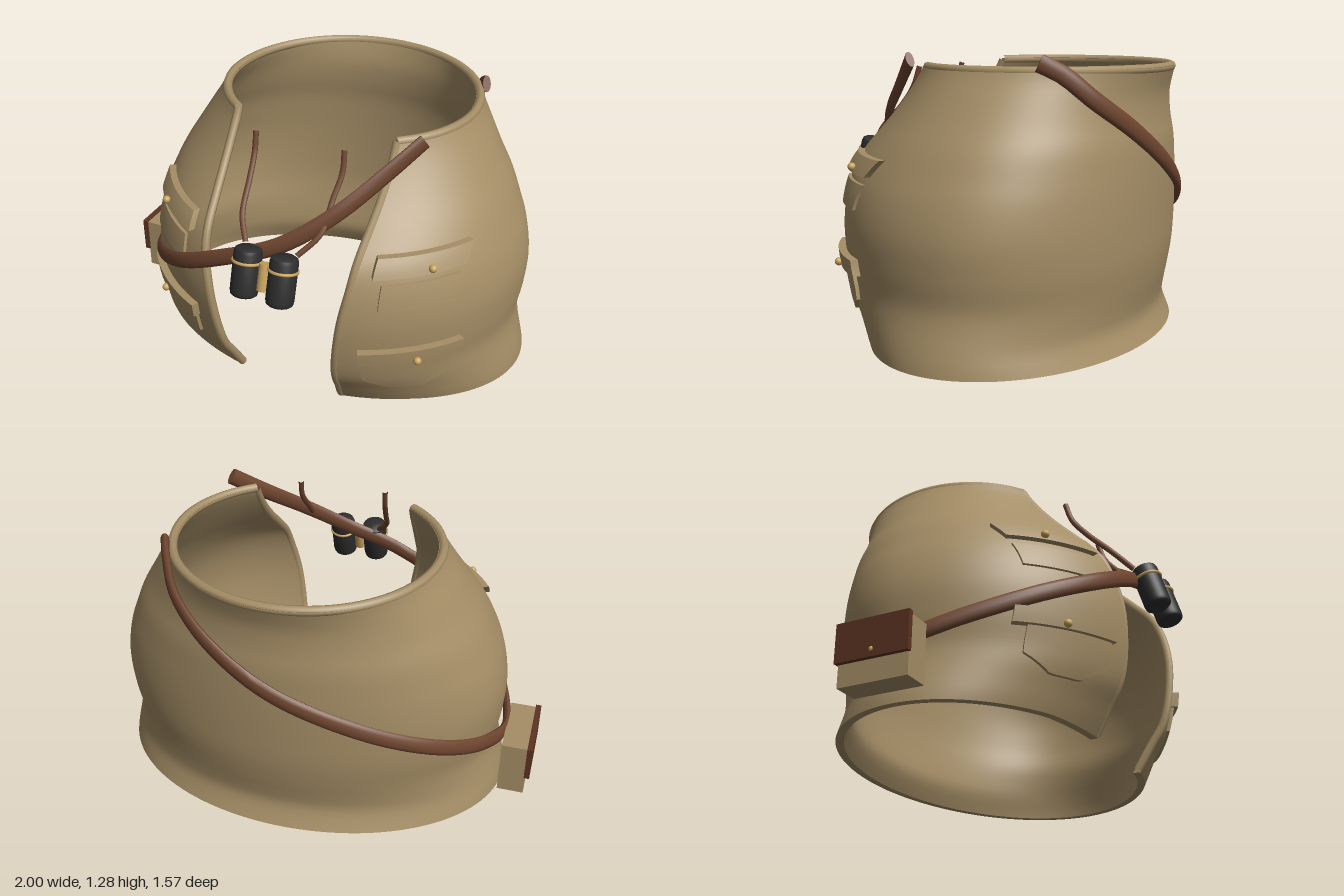
import * as THREE from 'three';
import { toCreasedNormals } from 'three/addons/utils/BufferGeometryUtils.js';

const V = (x, y, z) => new THREE.Vector3(x, y, z);
const CX = 0.07, TOP = 1.215;

const mat = (name, color) => {
  const m = new THREE.MeshStandardMaterial({ color });
  m.name = name;
  return m;
};

// Vest profile by height: y, half width, widest z, back z, opening z, opening half width
const PROFILE = [
  [0, 0.93, -0.1, -0.755, 0.48, 0.26], [0.05, 0.925, -0.1, -0.73, 0.51, 0.265],
  [0.12, 0.91, -0.1, -0.705, 0.55, 0.275], [0.2, 0.89, -0.1, -0.715, 0.6, 0.285],
  [0.27, 0.88, -0.1, -0.73, 0.625, 0.29], [0.4, 0.895, -0.11, -0.75, 0.645, 0.305],
  [0.55, 0.9, -0.12, -0.757, 0.645, 0.325], [0.7, 0.87, -0.13, -0.76, 0.61, 0.35],
  [0.8, 0.83, -0.14, -0.76, 0.56, 0.36], [0.9, 0.785, -0.15, -0.757, 0.465, 0.37],
  [1.0, 0.725, -0.16, -0.745, 0.365, 0.38], [1.1, 0.665, -0.18, -0.745, 0.28, 0.385],
  [1.18, 0.615, -0.19, -0.765, 0.225, 0.385], [1.22, 0.595, -0.2, -0.778, 0.205, 0.385],
];
const profile = new THREE.CubicInterpolant(PROFILE.map(r => r[0]), PROFILE.flatMap(r => r.slice(1)), 5);

// Girth at height y; angle 0 is the front, growing towards +x
function girth(y) {
  const [a, zc, zb, ze, e] = profile.evaluate(Math.min(Math.max(y, 0), 1.22));
  return { a, zc, back: zc - zb, front: (ze - zc) / Math.sqrt(1 - (e / a) ** 2), open: Math.asin(e / a) };
}
function surface(t, y, off = 0) {
  const g = girth(y), s = Math.sin(t), c = Math.cos(t), r = c > 0 ? g.front : g.back;
  const n = V(s / g.a, 0, c / r).normalize();
  return V(CX + g.a * s + n.x * off, y, g.zc + r * c + n.z * off);
}
const angleAt = (x, y) => Math.asin(Math.max(-1, Math.min(1, (x - CX) / girth(y).a)));

// Mesh geometry from vertex positions and indices
function geometry(points, index) {
  const g = new THREE.BufferGeometry().setFromPoints(points);
  g.setIndex(index);
  return toCreasedNormals(g, 0.7);
}

// Closed curved slab between two offsets of f(u, v, off)
function slab(nu, nv, f, off0, off1) {
  const pts = [], idx = [], m = 2 * (nv + 1);
  for (let i = 0; i <= nu; i++) {
    for (let j = 0; j <= nv; j++) pts.push(f(i / nu, j / nv, off1));
    for (let j = nv; j >= 0; j--) pts.push(f(i / nu, j / nv, off0));
  }
  for (let i = 0; i < nu; i++) for (let j = 0; j < m; j++) {
    const a = i * m + j, b = i * m + (j + 1) % m;
    idx.push(a, a + m, b + m, a, b + m, b);
  }
  for (let j = 0; j < nv; j++) {
    const a = j, b = j + 1, c = m - 2 - j, d = m - 1 - j, e = nu * m;
    idx.push(a, b, c, a, c, d, e + a, e + c, e + b, e + a, e + d, e + c);
  }
  return geometry(pts, idx);
}

// Flat rounded strap whose broad side faces away from the body
function ribbon(path, halfWidth, halfThick) {
  const curve = new THREE.CatmullRomCurve3(path), n = 90, k = 12, pts = [], idx = [];
  for (let i = 0; i <= n; i++) {
    const u = Math.min(Math.max(i - 1, 0), n - 2) / (n - 2);
    const p = curve.getPointAt(u), T = curve.getTangentAt(u);
    const N = V(p.x - CX, 0, p.z + 0.12);
    N.addScaledVector(T, -N.dot(T)).normalize();
    const B = T.clone().cross(N), s = i === 0 || i === n ? 0 : 1;
    for (let j = 0; j < k; j++) {
      const f = j / k * Math.PI * 2;
      pts.push(p.clone().addScaledVector(N, s * halfThick * Math.cos(f)).addScaledVector(B, s * halfWidth * Math.sin(f)));
    }
  }
  for (let i = 0; i < n; i++) for (let j = 0; j < k; j++) {
    const a = i * k + j, b = i * k + (j + 1) % k;
    idx.push(a, b, b + k, a, b + k, a + k);
  }
  return geometry(pts, idx);
}

const tube = (points, r, n = 40) => new THREE.TubeGeometry(new THREE.CatmullRomCurve3(points), n, r, 8);

export function createModel() {
  const model = new THREE.Group();
  model.name = 'explorerVest';
  const khaki = mat('khaki cloth', 0xa58e66), leather = mat('brown leather', 0x6e452f);
  const darkLeather = mat('dark leather', 0x5c3422), black = mat('black', 0x2d2d2d), brass = mat('brass', 0xc8a45e);
  const add = (name, geo, material, parent = model) => {
    const m = new THREE.Mesh(geo, material);
    m.name = name;
    parent.add(m);
    return m;
  };

  // Vest body, open at the front
  const vest = (u, v, off) => {
    const y0 = 0.02 * Math.min(1, Math.min(u, 1 - u) / 0.06);
    const y = y0 + (TOP - y0) * v, o = girth(y).open;
    return surface(o + u * (2 * Math.PI - 2 * o), y, off);
  };
  add('vestBody', slab(110, 44, vest, -0.035, 0), khaki);

  // Rolled hems along the neck and both front edges
  const steps = Array.from({ length: 41 }, (_, i) => i / 40);
  add('neckHem', tube(steps.map(u => vest(u, 0.995, -0.018)), 0.021, 110), khaki);
  for (const side of [0, 1])
    add(side ? 'rightFrontHem' : 'leftFrontHem', tube(steps.map(v => vest(side, 0.01 + v * 0.985, -0.018)), 0.02, 60), khaki);

  // Pockets, flaps and buttons on both front panels
  const patch = (s, d0, d1, y0, y1, off, taper = 0) => slab(14, 5, (u, v, o) => {
    const w = s > 0 ? u : 1 - u;
    const edge = Math.max(0, 1 - Math.min(w, 1 - w) / 0.3);
    const yb = y0 + taper * edge, y = yb + (y1 - yb) * v;
    return surface(angleAt(CX + s * (d0 + (d1 - d0) * w), y), y, o);
  }, -0.01, off);
  for (const s of [1, -1]) {
    const pockets = new THREE.Group();
    pockets.name = s > 0 ? 'leftPockets' : 'rightPockets';
    model.add(pockets);
    add('upperPocket', patch(s, 0.46, 0.72, 0.62, 0.73, 0.014), khaki, pockets);
    add('upperFlap', patch(s, 0.42, 0.72, 0.765, 0.84, 0.03), khaki, pockets);
    add('lowerPocket', patch(s, 0.4, 0.71, 0.16, 0.36, 0.016, 0.07), khaki, pockets);
    add('lowerFlap', patch(s, 0.39, 0.75, 0.345, 0.415, 0.034), khaki, pockets);
    for (const [d, y] of [[0.61, 0.79], [0.6, 0.362]])
      add('button', new THREE.SphereGeometry(0.018, 14, 10), brass, pockets)
        .position.copy(surface(angleAt(CX + s * d, y), y, 0.042));
  }

  // Shoulder strap: across the chest, past the bag, up the back
  const chest = [V(0.57, 1.245, 0.21), V(0.45, 1.12, 0.34), V(0.3, 0.98, 0.49), V(0.1, 0.84, 0.6), V(-0.15, 0.73, 0.635),
    V(-0.4, 0.61, 0.59), V(-0.62, 0.49, 0.425), V(-0.78, 0.375, 0.17), V(-0.85, 0.3, -0.08)];
  const back = [[4.4, 0.36], [4, 0.48], [3.6, 0.62], [3.14, 0.8], [2.75, 0.97], [2.4, 1.1], [2.12, 1.2], [1.95, 1.245]]
    .map(([t, y]) => surface(t, y, 0.014));
  add('shoulderStrap', ribbon([...chest, ...back], 0.038, 0.018), leather);

  // Side bag with a leather flap and clasp
  const bag = new THREE.Group();
  bag.name = 'sideBag';
  bag.position.set(-0.915, 0.2, -0.125);
  model.add(bag);
  add('bagBody', new THREE.BoxGeometry(0.12, 0.26, 0.32), khaki, bag);
  add('bagFlap', new THREE.BoxGeometry(0.025, 0.17, 0.335), darkLeather, bag).position.set(-0.068, 0.052, 0);
  add('bagClasp', new THREE.SphereGeometry(0.015, 12, 8), brass, bag).position.set(-0.07, 0, 0);

  // Binoculars
  const binoculars = new THREE.Group();
  binoculars.name = 'binoculars';
  binoculars.position.set(0.068, 0.735, 0.695);
  binoculars.rotation.x = -0.294;
  model.add(binoculars);
  const barrel = [[0, -0.108], [0.048, -0.108], [0.058, -0.1], [0.061, -0.085], [0.061, 0.085], [0.057, 0.1], [0.045, 0.108], [0, 0.108]]
    .map(([x, y]) => new THREE.Vector2(x, y));
  for (const s of [1, -1]) {
    add('barrel', toCreasedNormals(new THREE.LatheGeometry(barrel, 28), 0.7), black, binoculars).position.x = s * 0.084;
    const ring = add('barrelRing', new THREE.TorusGeometry(0.061, 0.007, 8, 28), brass, binoculars);
    ring.rotation.x = Math.PI / 2;
    ring.position.set(s * 0.084, 0.047, 0);
  }
  add('hinge', new THREE.CylinderGeometry(0.026, 0.026, 0.12, 16), brass, binoculars).position.y = -0.005;

  // Neck cords of the binoculars
  add('rightCord', tube([V(-0.14, 1.2, 0.34), V(-0.135, 1.11, 0.37), V(-0.125, 1.02, 0.44), V(-0.105, 0.91, 0.55), V(-0.05, 0.83, 0.63)], 0.013), leather);
  add('leftCord', tube([V(0.27, 1.2, 0.34), V(0.275, 1.11, 0.37), V(0.265, 1.02, 0.44), V(0.26, 0.91, 0.55), V(0.19, 0.83, 0.63)], 0.013), leather);

  return model;
}
